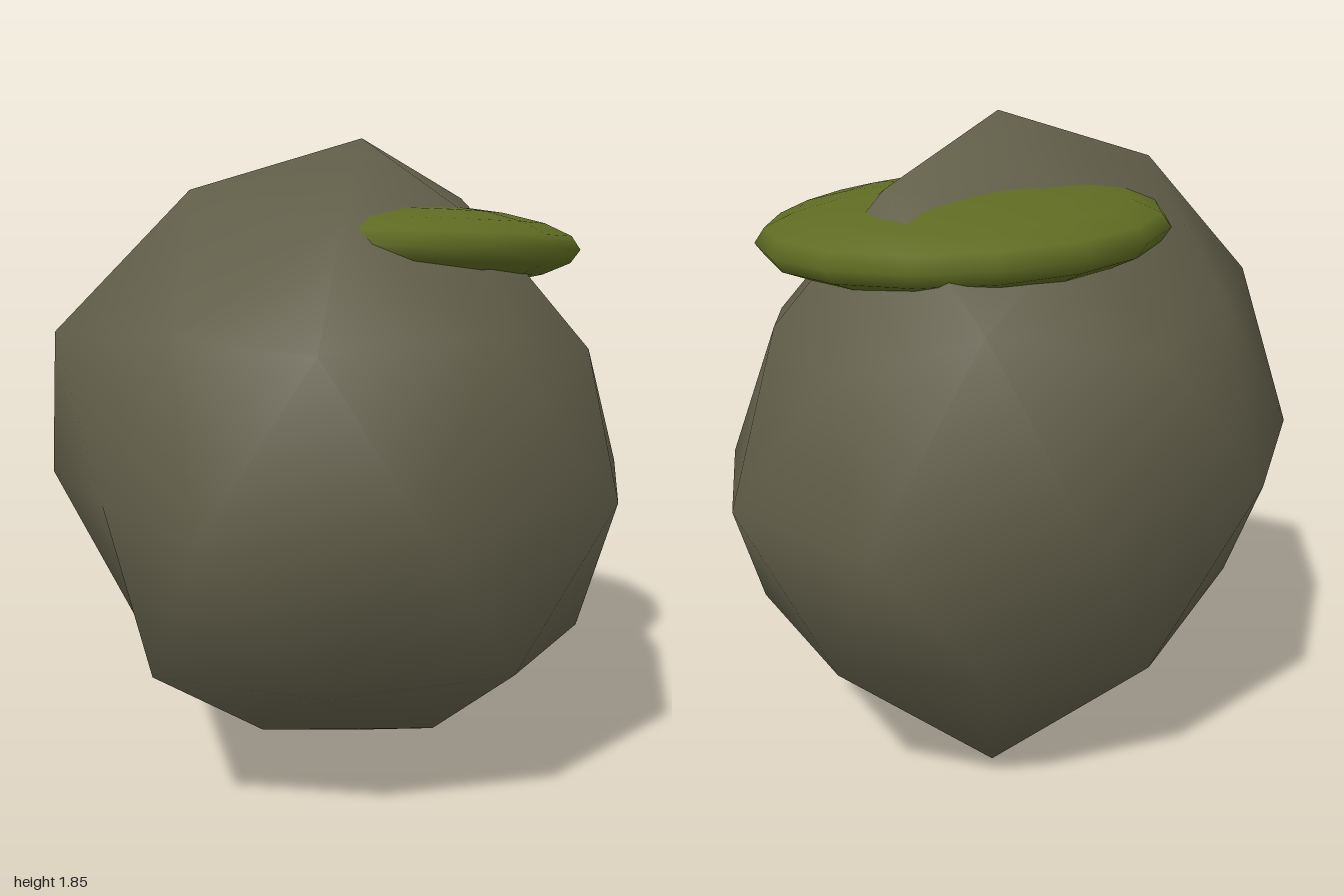
import * as THREE from 'three';

const stone = new THREE.MeshStandardMaterial({ color: 0x625f4a });
stone.name = 'stone';
const mossGreen = new THREE.MeshStandardMaterial({ color: 0x5f6b22 });
mossGreen.name = 'mossGreen';

// Boulder: once-subdivided icosahedron standing on a corner, each corner
// pushed to its own radius, then stretched along the axes.
function boulderGeometry() {
  const points = [];
  const ring = (radii, startDeg, heights) => {
    const first = points.length / 3;
    radii.forEach((r, k) => {
      const a = THREE.MathUtils.degToRad(startDeg + (k * 360) / radii.length);
      const h = heights[k % heights.length];
      const flat = Math.sqrt(1 - h * h);
      points.push(1.25 * r * flat * Math.cos(a), 0.87 + 1.14 * r * h, -r * flat * Math.sin(a));
    });
    return (k) => first + (k % radii.length);
  };
  const top = ring([0.86], 0, [1]);
  const cap = ring([0.835, 0.70, 0.855, 0.76, 0.73], 0, [0.8507]);
  const upper = ring([0.72, 0.86, 0.80, 0.76, 0.875, 0.753, 0.863, 0.755, 0.74, 0.70], 0, [0.4472, 0.5257]);
  const middle = ring([0.84, 0.775, 0.86, 0.855, 0.72, 0.84, 0.78, 0.86, 0.73, 0.774], 18, [0]);
  const lower = ring([0.76, 0.774, 0.816, 0.77, 0.71, 0.81, 0.77, 0.846, 0.765, 0.73], 0, [-0.5257, -0.4472]);
  const foot = ring([0.84, 0.766, 0.727, 0.74, 0.70], 36, [-0.8507]);
  const bottom = ring([0.763], 0, [-1]);

  const faces = [];
  for (let i = 0; i < 5; i++) {
    const k = 2 * i;
    faces.push(top(0), cap(i), cap(i + 1));
    faces.push(cap(i), upper(k), upper(k + 1));
    faces.push(cap(i), upper(k + 1), cap(i + 1));
    faces.push(cap(i + 1), upper(k + 1), upper(k + 2));
    faces.push(foot(i), lower(k + 1), lower(k));
    faces.push(foot(i), lower(k + 2), lower(k + 1));
    faces.push(foot(i), foot(i + 1), lower(k + 2));
    faces.push(bottom(0), foot(i + 1), foot(i));
  }
  for (let k = 0; k < 10; k++) {
    faces.push(upper(k), middle(k), upper(k + 1));
    faces.push(middle(k), middle(k + 1), upper(k + 1));
    faces.push(middle(k), lower(k), lower(k + 1));
    faces.push(middle(k), middle(k + 9), lower(k));
  }
  // the last strip triangle runs the other way round
  for (let f = 0; f < faces.length; f += 3) {
    const [a, b, c] = [0, 1, 2].map((j) => new THREE.Vector3().fromArray(points, faces[f + j] * 3));
    const normal = b.clone().sub(a).cross(c.clone().sub(a));
    const out = a.clone().add(b).add(c).divideScalar(3).sub(new THREE.Vector3(0, 0.87, 0));
    if (normal.dot(out) < 0) [faces[f + 1], faces[f + 2]] = [faces[f + 2], faces[f + 1]];
  }
  const geometry = new THREE.BufferGeometry();
  geometry.setAttribute('position', new THREE.Float32BufferAttribute(points, 3));
  geometry.setIndex(faces);
  geometry.computeVertexNormals();
  return geometry;
}

export function createModel() {
  const group = new THREE.Group();
  group.name = 'mossyBoulder';

  const boulder = new THREE.Mesh(boulderGeometry(), stone);
  boulder.name = 'boulder';
  group.add(boulder);

  // Flat moss cushion wrapped around the crown, slightly tilted
  const cushion = new THREE.SphereGeometry(1, 16, 10);
  cushion.scale(0.64, 0.13, 0.56);
  const moss = new THREE.Mesh(cushion, mossGreen);
  moss.name = 'mossPatch';
  moss.position.set(0.16, 1.535, 0);
  moss.rotation.z = -0.04;
  group.add(moss);

  return group;
}
